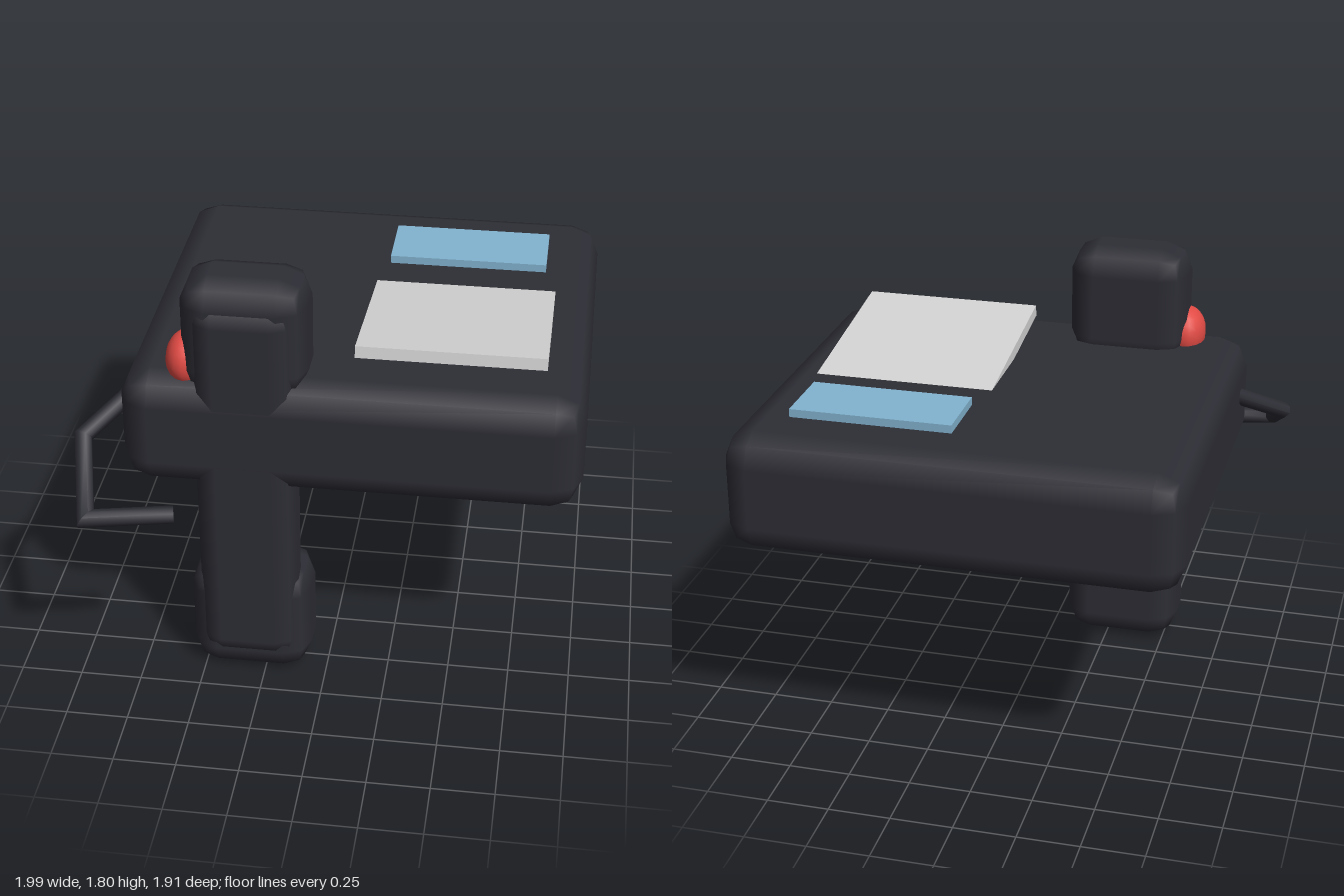
import * as THREE from 'three';
import { RoundedBoxGeometry } from 'three/addons/geometries/RoundedBoxGeometry.js';
import { toCreasedNormals } from 'three/addons/utils/BufferGeometryUtils.js';

const material = (name, color) => {
  const m = new THREE.MeshStandardMaterial({ color });
  m.name = name;
  return m;
};

// Sweep a round section along straight segments, mitred at each bend
function mitredRod(points, radius, sides) {
  const dirs = points.slice(1).map((p, i) => p.clone().sub(points[i]).normalize());
  const u = new THREE.Vector3(0, 1, 0).cross(dirs[0]).normalize();
  const v = dirs[0].clone().cross(u);
  const pos = [], index = [];
  let ring = [];
  for (let j = 0; j < sides; j++) {
    const a = (j / sides) * Math.PI * 2;
    ring.push(points[0].clone().addScaledVector(u, radius * Math.cos(a)).addScaledVector(v, radius * Math.sin(a)));
  }
  points.forEach((p, i) => {
    if (i > 0) {
      const d = dirs[i - 1];
      const n = d.clone().add(dirs[i] ?? d).normalize();
      ring = ring.map(q => q.clone().addScaledVector(d, p.clone().sub(q).dot(n) / d.dot(n)));
    }
    ring.forEach(q => pos.push(q.x, q.y, q.z));
  });
  const last = (points.length - 1) * sides;
  for (let i = 0; i < points.length - 1; i++) {
    for (let j = 0; j < sides; j++) {
      const a = i * sides + j, b = i * sides + ((j + 1) % sides);
      index.push(a, b, b + sides, a, b + sides, a + sides);
    }
  }
  for (let j = 1; j < sides - 1; j++) {
    index.push(0, j + 1, j, last, last + j, last + j + 1);
  }
  const g = new THREE.BufferGeometry();
  g.setAttribute('position', new THREE.Float32BufferAttribute(pos, 3));
  g.setIndex(index);
  return toCreasedNormals(g, 0.85);
}

export function createModel() {
  const group = new THREE.Group();
  const dark = material('charcoal plastic', 0x2d2d35);
  const white = material('pale grey', 0xd4d4d4);
  const blue = material('screen blue', 0x82b3d0);
  const red = material('button red', 0xe04a44);

  const add = (name, geometry, mat) => {
    const mesh = new THREE.Mesh(geometry, mat);
    mesh.name = name;
    group.add(mesh);
    return mesh;
  };
  // Softly bevelled box given by its limits on each axis
  const block = (name, [x0, x1], [y0, y1], [z0, z1], r) =>
    add(name, new RoundedBoxGeometry(x1 - x0, y1 - y0, z1 - z0, 1, r), dark)
      .position.set((x0 + x1) / 2, (y0 + y1) / 2, (z0 + z1) / 2);

  // Main housing
  block('body', [-0.8, 1], [0.905, 1.39], [-0.963, 0.677], 0.12);

  // Handset: grip with an earpiece and a mouthpiece
  block('handsetGrip', [-0.51, -0.11], [0.085, 1.725], [0.437, 0.674], 0.09);
  block('earpiece', [-0.555, -0.063], [1.31, 1.8], [0.33, 0.652], 0.11);
  block('mouthpiece', [-0.555, -0.063], [0, 0.49], [0.33, 0.652], 0.11);

  // Sloped panel on the top
  const panel = add('slopedPanel', new THREE.BoxGeometry(0.735, 0.048, 0.73), white);
  panel.position.set(0.47, 1.417, 0.115);
  panel.rotation.x = -0.139;

  // Flat display behind it
  add('display', new THREE.BoxGeometry(0.65, 0.07, 0.285), blue).position.set(0.465, 1.388, -0.553);

  // Round button beside the earpiece
  const button = add('button', new THREE.SphereGeometry(0.11, 16, 12), red);
  button.scale.x = 0.74;
  button.position.set(-0.543, 1.42, 0.515);

  // Bent cord leaving the right side
  const path = [[-0.7, 1.25, 0.32], [-0.957, 1.07, 0.59], [-0.88, 0.903, 0.91], [-0.552, 0.903, 0.838]];
  add('cord', mitredRod(path.map(p => new THREE.Vector3(...p)), 0.035, 8), dark);

  return group;
}
